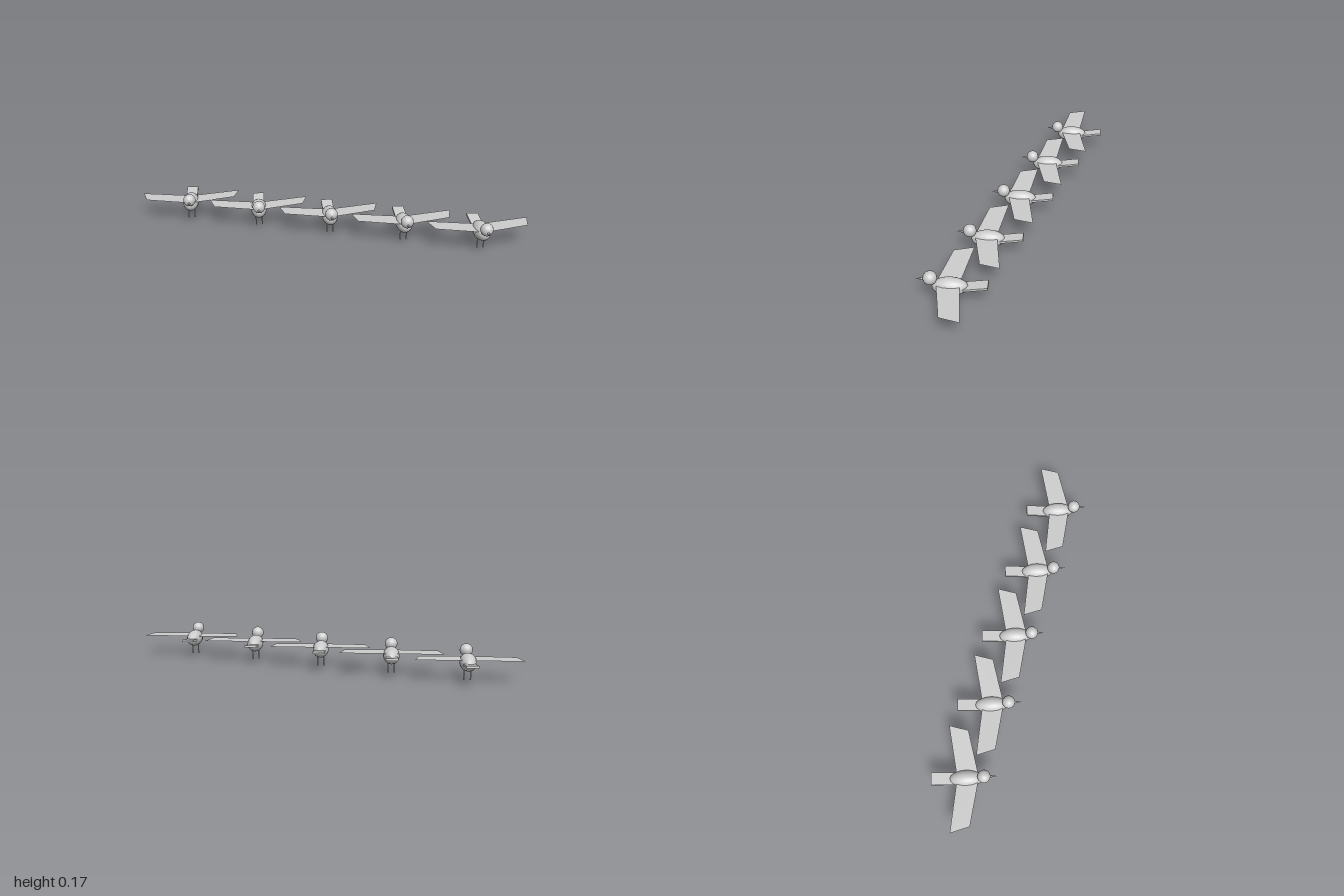
import * as THREE from 'three';

export function createModel() {
  const plumage = new THREE.MeshStandardMaterial({ color: 0xcccccc, side: THREE.DoubleSide });
  plumage.name = 'light grey';

  const bodyGeo = new THREE.SphereGeometry(1, 16, 12).scale(0.042, 0.0435, 0.083);
  const headGeo = new THREE.SphereGeometry(0.0325, 16, 12);
  const beakGeo = new THREE.ConeGeometry(0.009, 0.045, 8).rotateX(Math.PI / 2);
  const tailGeo = new THREE.BoxGeometry(0.06, 0.011, 0.13);
  const legGeo = new THREE.CylinderGeometry(0.0035, 0.0035, 0.07, 8);

  // Swept, slightly raised flat wing: root front, tip front, tip back, root back
  function wingGeometry(side) {
    const corners = [[0.015, 0.108, 0.06], [0.235, 0.115, 0.015], [0.262, 0.116, -0.081], [0.015, 0.108, -0.046]];
    const geo = new THREE.BufferGeometry();
    geo.setAttribute('position', new THREE.Float32BufferAttribute(
      corners.flatMap(([x, y, z]) => [x * side, y, z]), 3));
    geo.setIndex(side > 0 ? [0, 1, 2, 0, 2, 3] : [0, 2, 1, 0, 3, 2]);
    geo.computeVertexNormals();
    return geo;
  }
  const leftWingGeo = wingGeometry(1);
  const rightWingGeo = wingGeometry(-1);

  function createBird() {
    const bird = new THREE.Group();
    const add = (name, geo, x, y, z, tilt = 0) => {
      const mesh = new THREE.Mesh(geo, plumage);
      mesh.name = name;
      mesh.position.set(x, y, z);
      mesh.rotation.x = tilt;
      bird.add(mesh);
    };
    add('body', bodyGeo, 0, 0.091, 0);
    add('head', headGeo, 0, 0.134, 0.088);
    add('beak', beakGeo, 0, 0.127, 0.13, -0.03);
    add('tail', tailGeo, 0, 0.0965, -0.108, 0.145);
    add('leftWing', leftWingGeo, 0, 0, 0);
    add('rightWing', rightWingGeo, 0, 0, 0);
    add('leftLeg', legGeo, 0.016, 0.035, 0.008);
    add('rightLeg', legGeo, -0.016, 0.035, 0.008);
    return bird;
  }

  // Five birds in a diagonal line
  const flock = new THREE.Group();
  flock.name = 'flock';
  for (let i = -2; i <= 2; i++) {
    const bird = createBird();
    bird.name = `bird${i + 3}`;
    bird.position.set(i * 0.369, 0, 0.01 + i * 0.1325);
    flock.add(bird);
  }
  return flock;
}
